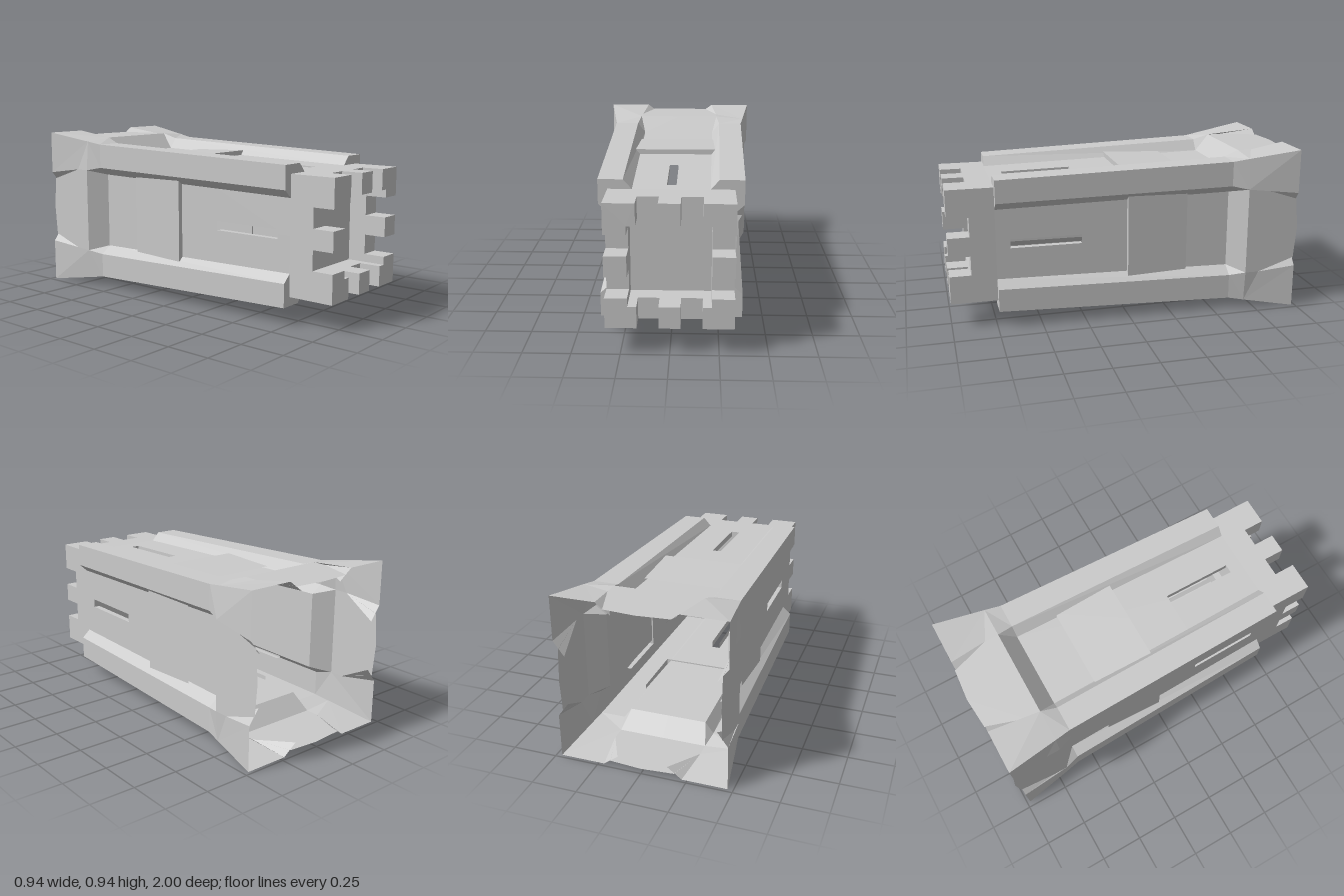
import * as THREE from 'three';

const CY = 0.47; // height of the tower's long axis
const mat = new THREE.MeshStandardMaterial({ color: 0xcccccc, flatShading: true, side: THREE.DoubleSide });

// Mesh from flat polygons of [across, out, along] points, mirrored across the side's middle
function mirrored(name, polys) {
  const pos = [];
  for (const s of [1, -1]) {
    for (const p of polys) {
      const q = s > 0 ? p : [...p].reverse();
      for (let i = 1; i < q.length - 1; i++)
        for (const v of [q[0], q[i], q[i + 1]]) pos.push(s * v[0], v[1], v[2]);
    }
  }
  const g = new THREE.BufferGeometry();
  g.setAttribute('position', new THREE.Float32BufferAttribute(pos, 3));
  g.computeVertexNormals();
  const m = new THREE.Mesh(g, mat);
  m.name = name;
  return m;
}

function extrude(name, points, z0, z1, hole) {
  const shape = new THREE.Shape(points.map(p => new THREE.Vector2(...p)));
  if (hole) shape.holes.push(new THREE.Path(hole.map(p => new THREE.Vector2(...p))));
  const g = new THREE.ExtrudeGeometry(shape, { depth: z1 - z0, bevelEnabled: false });
  g.translate(0, 0, z0);
  const m = new THREE.Mesh(g, mat);
  m.name = name;
  return m;
}

const square = r => [[-r, -r], [r, -r], [r, r], [-r, r]];

// Tapering wall: point at a distance across and along
const taper = z => (0.74 - z) / 1.34;
const wall = (t, z) => [t, 0.325 + 0.023 * taper(z), z];
const wallEdge = z => wall(0.2 + 0.022 * taper(z), z);

function createSide() {
  const side = new THREE.Group();
  side.name = 'towerSide';
  const s = 0.025, top = 0.66, low = 0.26;

  // Wall with a window slit
  side.add(mirrored('wall', [
    [wall(0, 0.74), wallEdge(0.74), wallEdge(top), wall(0, top)],
    [wall(s, top), wallEdge(top), wallEdge(low), wall(s, low)],
    [wall(0, low), wallEdge(low), wallEdge(-0.6), wall(0, -0.6)],
  ]));
  const inner = z => [s, 0.29 + 0.023 * taper(z), z];
  side.add(mirrored('slitCheek', [[wall(s, top), wall(s, low), inner(low), inner(top)]]));

  // Raised panel, wedge shaped
  side.add(mirrored('wallPanel', [
    [[0, 0.366, 0], [0.237, 0.366, 0], [0.237, 0.354, -0.35], [0, 0.354, -0.35]],
    [[0, 0.33, 0], [0.237, 0.33, 0], [0.237, 0.366, 0], [0, 0.366, 0]],
    [[0.237, 0.33, 0], [0.237, 0.33, -0.35], [0.237, 0.354, -0.35], [0.237, 0.366, 0]],
  ]));

  // Corner strips with bevelled inner edge and flat end cap
  const a0 = wallEdge(0.74), a1 = wallEdge(-0.6);
  const b0 = [0.245, 0.375, 0.74], b1 = [0.268, 0.41, -0.6];
  const c0 = [0.375, 0.375, 0.74], c1 = [0.41, 0.41, -0.6];
  const p = [0.25, 0.44, -0.69], c2 = [0.425, 0.425, -0.69];
  side.add(mirrored('cornerStrip', [
    [a0, b0, b1, a1],
    [b0, c0, c1, b1],
    [b1, c1, c2, p],
    [a0, [0.325, 0.325, 0.74], c0, b0],
  ]));

  // Sloped step and base band
  const foot = [0.25, 0.44, -0.77], footIn = [0.18, 0.44, -0.985];
  side.add(mirrored('baseBand', [
    [wall(0, -0.6), a1, p, [0, 0.44, -0.69]],
    [a1, b1, p],
    [[0, 0.44, -0.69], p, foot, footIn, [0, 0.44, -1]],
  ]));

  // Flared corner feet
  const tip = [0.22, 0.47, -0.98];
  side.add(mirrored('cornerFoot', [
    [c2, [0.47, 0.47, -0.98], tip, foot, p],
    [foot, tip, [0.14, 0.41, -0.98]],
  ]));
  return side;
}

export function createModel() {
  const tower = new THREE.Group();
  tower.name = 'tower';
  const body = new THREE.Group();
  body.name = 'towerBody';
  body.position.y = CY;
  tower.add(body);

  // Crown: parapet ring, sunken floor, merlons
  const R = 0.325, r = 0.21, n = 0.165;
  body.add(extrude('parapet', square(R), 0.735, 0.88, square(r)));
  const floor = new THREE.Mesh(new THREE.PlaneGeometry(2 * r, 2 * r), mat);
  floor.name = 'crownFloor';
  floor.position.z = 0.78;
  body.add(floor);

  for (let i = 0; i < 4; i++) {
    const side = createSide();
    side.add(extrude('middleMerlon', [[-0.055, r], [0.055, r], [0.055, R], [-0.055, R]], 0.88, 1));
    side.add(extrude('cornerMerlon', [[n, r], [r, r], [r, n], [R, n], [R, R], [n, R]], 0.88, 1));
    side.rotation.z = i * Math.PI / 2;
    body.add(side);
  }
  return tower;
}
